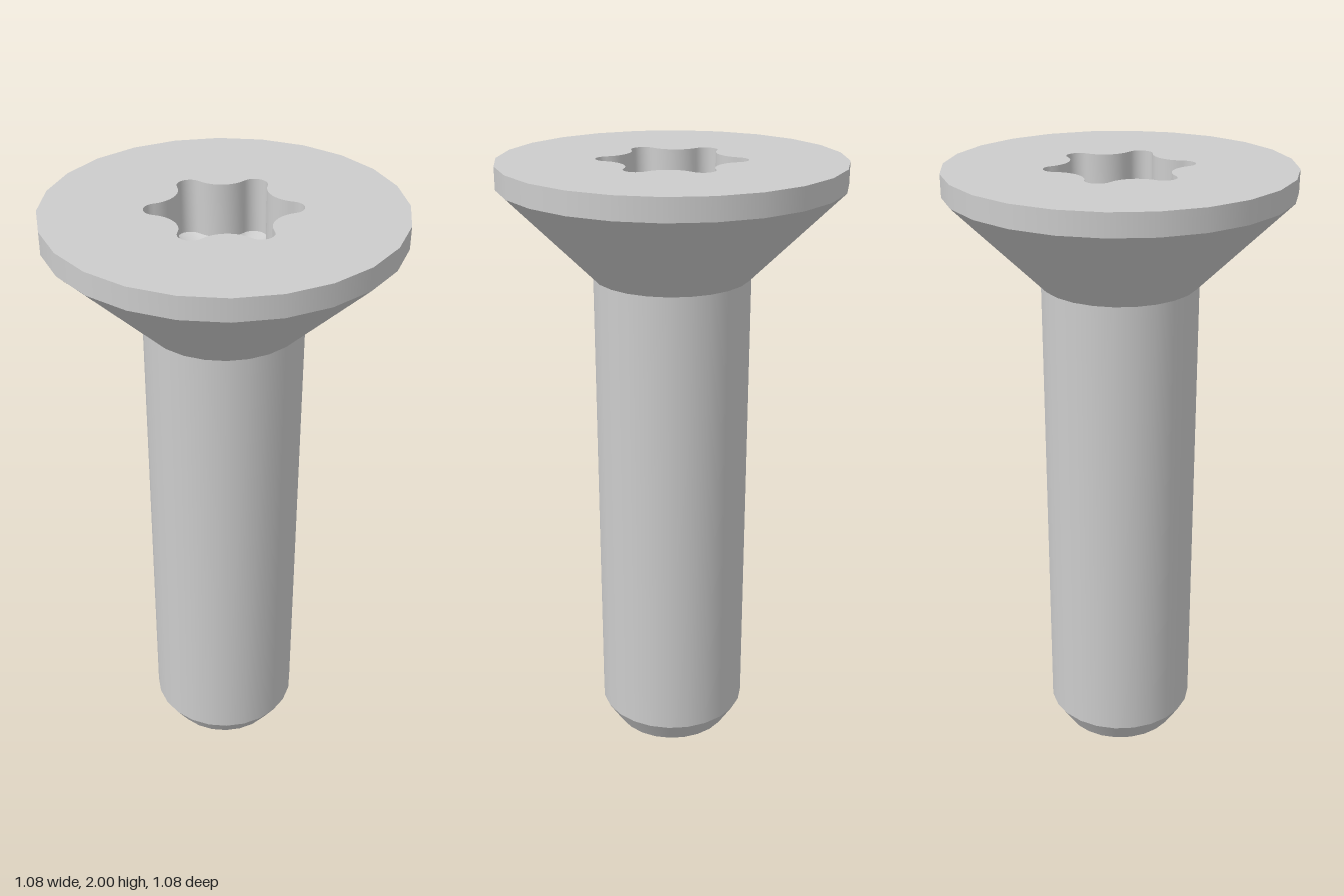
import * as THREE from 'three';

const SIDES = 24;
const TOP = 2;

// Six-lobed drive outline: round lobes joined by tangent inward arcs
function lobedOutline(lobeCentre = 0.194, lobeR = 0.04, valley = 0.167) {
  const k = Math.sqrt(3) * lobeCentre;
  const arcR = (lobeCentre ** 2 + valley ** 2 - k * valley - lobeR ** 2) / (2 * lobeR + k - 2 * valley);
  const c = valley + arcR;
  const vx = c * Math.cos(Math.PI / 6), vy = c * 0.5;
  const phi = Math.atan2(vy, vx - lobeCentre);
  const points = [];
  const arc = (cx, cy, r, from, to, turn) => {
    const n = 10;
    for (let i = 0; i < n; i++) {
      const a = from + (to - from) * i / n;
      const p = new THREE.Vector2(cx + r * Math.cos(a), cy + r * Math.sin(a));
      points.push(p.rotateAround(new THREE.Vector2(), turn));
    }
  };
  for (let i = 0; i < 6; i++) {
    const turn = i * Math.PI / 3;
    arc(lobeCentre, 0, lobeR, -phi, phi, turn);
    arc(vx, vy, arcR, phi + Math.PI, Math.PI * 4 / 3 - phi, turn);
  }
  return points;
}

function indexed(positions, index) {
  const g = new THREE.BufferGeometry();
  g.setAttribute('position', new THREE.Float32BufferAttribute(positions, 3));
  g.setIndex(index);
  g.computeVertexNormals();
  return g;
}

export function createModel() {
  const group = new THREE.Group();
  const steel = new THREE.MeshStandardMaterial({ color: 0xcccccc });
  steel.name = 'steel';

  const add = (name, geometry) => {
    const mesh = new THREE.Mesh(geometry, steel);
    mesh.name = name;
    group.add(mesh);
    return mesh;
  };
  const band = (name, r0, y0, r1, y1) => {
    add(name, new THREE.CylinderGeometry(r1, r0, y1 - y0, SIDES, 1, true)).position.y = (y0 + y1) / 2;
  };

  // Body, from the tip upwards
  add('tipFace', new THREE.CircleGeometry(0.2, SIDES).rotateX(Math.PI / 2));
  band('tipChamfer', 0.2, 0, 0.25, 0.08);
  band('shank', 0.25, 0.08, 0.25, 1.64);
  band('headCone', 0.25, 1.64, 0.54, 1.93);
  band('headRim', 0.54, 1.93, 0.54, TOP);

  // Flat head face with the drive opening
  const outline = lobedOutline();
  const disc = new THREE.Shape();
  for (let i = 0; i < SIDES; i++) {
    const a = i / SIDES * Math.PI * 2;
    const x = 0.54 * Math.cos(a), y = 0.54 * Math.sin(a);
    i ? disc.lineTo(x, y) : disc.moveTo(x, y);
  }
  disc.closePath();
  disc.holes.push(new THREE.Path(outline.slice().reverse()));
  add('headFace', new THREE.ShapeGeometry(disc).rotateX(-Math.PI / 2)).position.y = TOP;

  // Drive recess: straight walls over a shallow conical floor
  const n = outline.length;
  const rimY = TOP - 0.17, apexY = TOP - 0.26;
  const wall = [], wallIndex = [], floor = [], floorIndex = [];
  outline.forEach((p, i) => {
    const j = (i + 1) % n;
    wall.push(p.x, TOP, -p.y, p.x, rimY, -p.y);
    wallIndex.push(2 * i, 2 * j, 2 * i + 1, 2 * j, 2 * j + 1, 2 * i + 1);
    floor.push(p.x, rimY, -p.y);
    floorIndex.push(n, i, j);
  });
  floor.push(0, apexY, 0);
  add('recessWall', indexed(wall, wallIndex));
  add('recessFloor', indexed(floor, floorIndex));

  return group;
}
